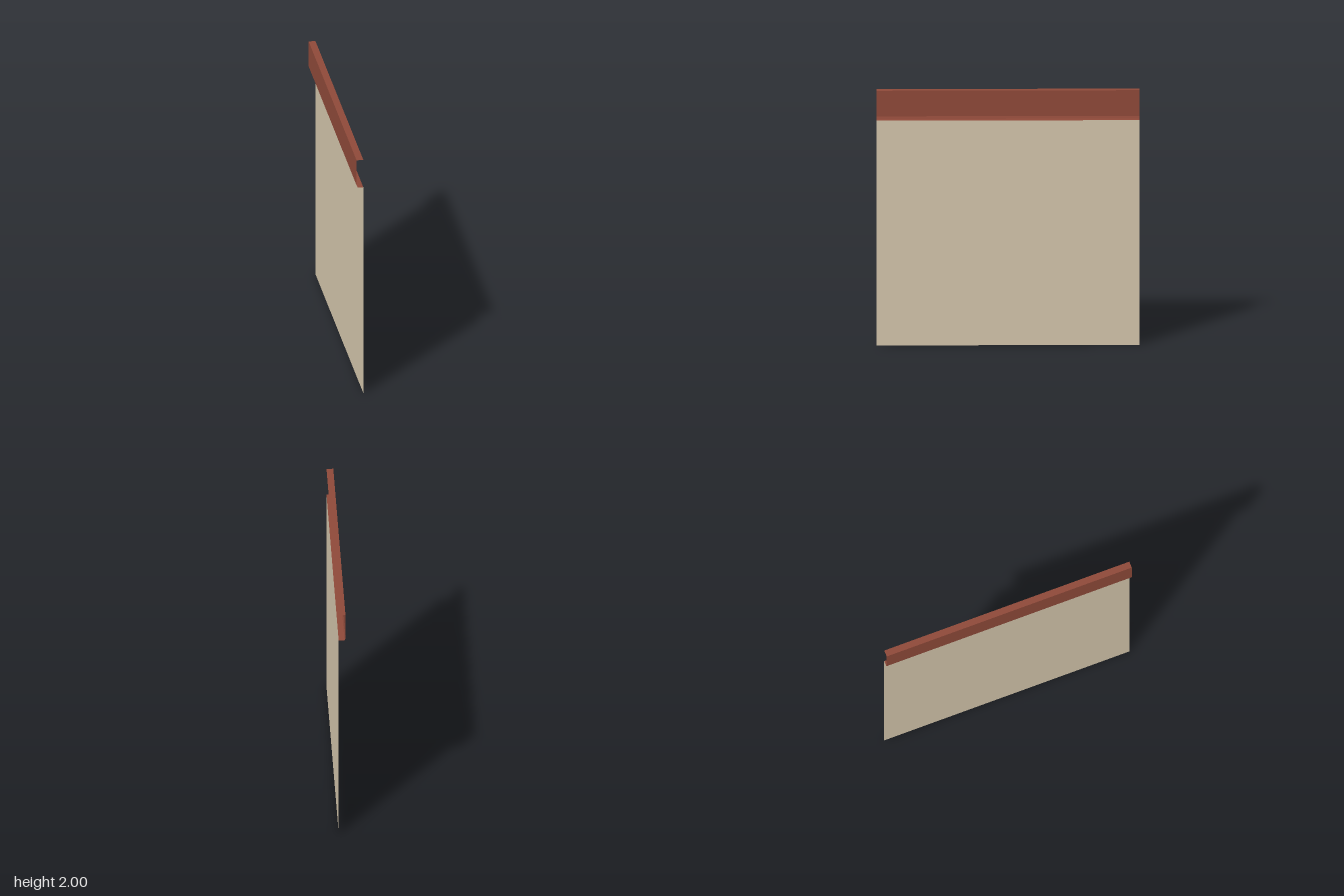
import * as THREE from 'three';

const HALF = 1; // half length along z

export function createModel() {
  const group = new THREE.Group();
  const trimRed = new THREE.MeshStandardMaterial({ color: 0x8e4939, side: THREE.DoubleSide });
  trimRed.name = 'trimRed';
  const panelBeige = new THREE.MeshStandardMaterial({ color: 0xd3c5ab, side: THREE.DoubleSide });
  panelBeige.name = 'panelBeige';

  // Flat strip between two profile points [x, y], running the whole length in z
  function strip(name, [x0, y0], [x1, y1], material) {
    const geo = new THREE.PlaneGeometry(1, 1);
    const pos = geo.attributes.position;
    for (let i = 0; i < pos.count; i++) {
      const t = pos.getY(i) + 0.5;
      pos.setXYZ(i, x0 + (x1 - x0) * t, y0 + (y1 - y0) * t, -pos.getX(i) * 2 * HALF);
    }
    geo.computeVertexNormals();
    const mesh = new THREE.Mesh(geo, material);
    mesh.name = name;
    group.add(mesh);
  }

  // Wall sheet
  strip('wallPanel', [0.026, 0], [0.026, 1.765], panelBeige);

  // Folded sheet-metal trim, from the lower ledge up to the top flange
  const fold = [[0.026, 1.765], [-0.018, 1.767], [-0.026, 1.786], [-0.026, 2], [0.026, 2]];
  const names = ['trimLedge', 'trimBevel', 'trimFace', 'trimTopFlange'];
  names.forEach((name, i) => strip(name, fold[i], fold[i + 1], trimRed));

  return group;
}
